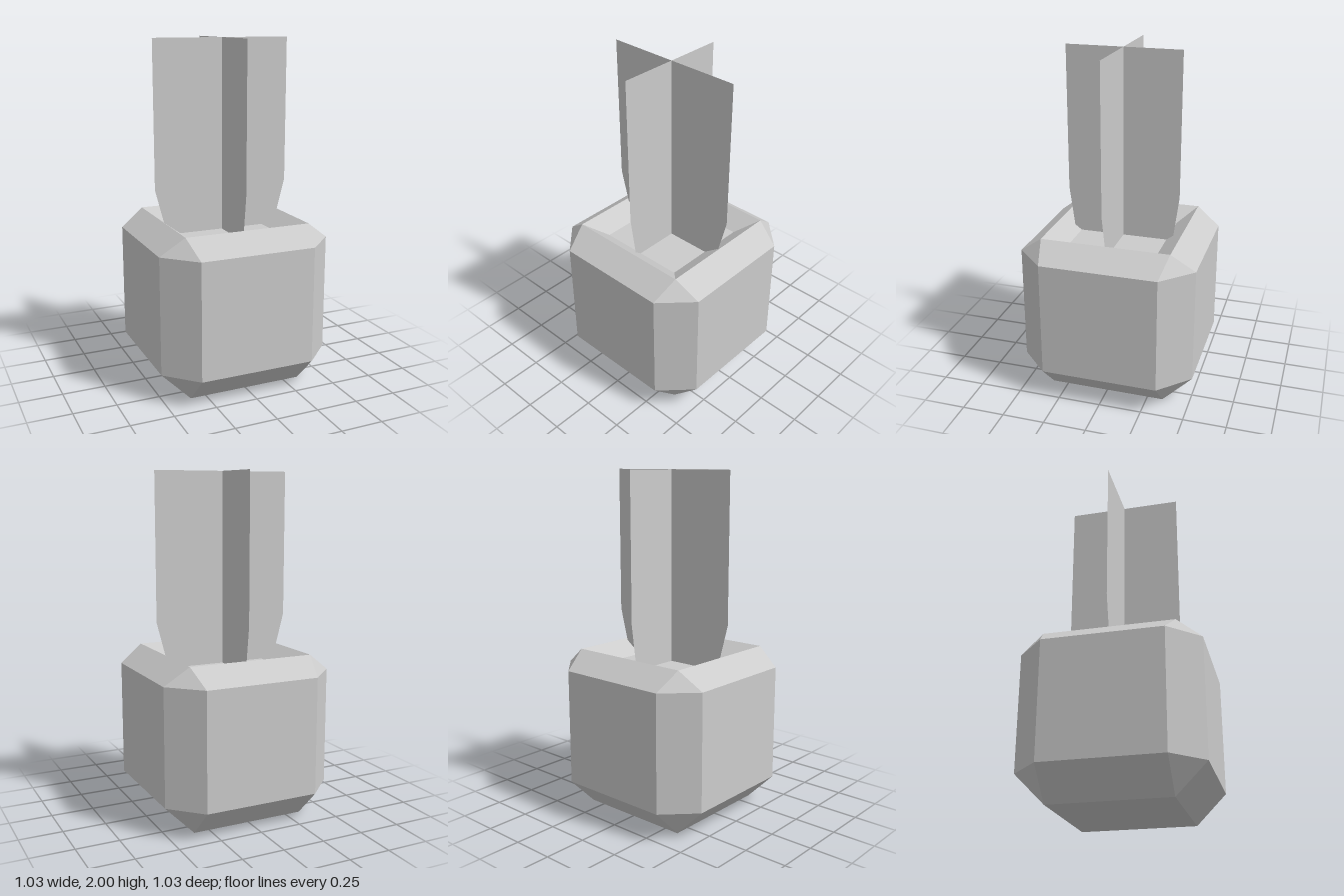
import * as THREE from 'three';

const material = new THREE.MeshStandardMaterial({ color: 0xcccccc, flatShading: true });
const leafMaterial = new THREE.MeshStandardMaterial({ color: 0xcccccc, flatShading: true, side: THREE.DoubleSide });

// Eight-point ring: a square of half-width a whose corners are cut at b (b = a keeps them sharp)
function ring([y, a, b]) {
  const points = [];
  let pair = [[a, b], [b, a]];
  for (let k = 0; k < 4; k++) {
    for (const [x, z] of pair) points.push(new THREE.Vector3(x, y, z));
    pair = pair.map(([x, z]) => [-z, x]);
  }
  return points;
}

// Skin a stack of rings, leaving out triangles that collapse to a line
function skin(sections) {
  const rings = sections.map(ring);
  const vertices = [];
  const addTriangle = (...t) => {
    if (new THREE.Triangle(...t).getArea() > 1e-6) t.forEach((p) => vertices.push(p));
  };
  for (let i = 0; i < rings.length - 1; i++) {
    const [lower, upper] = [rings[i], rings[i + 1]];
    for (let j = 0; j < 8; j++) {
      const n = (j + 1) % 8;
      addTriangle(lower[j], upper[j], lower[n]);
      addTriangle(lower[n], upper[j], upper[n]);
    }
  }
  const geometry = new THREE.BufferGeometry().setFromPoints(vertices);
  geometry.computeVertexNormals();
  return geometry;
}

// Flat upright blade, tapered towards its foot
function blade(name, halfWidth, halfFoot) {
  const shape = new THREE.Shape([
    [-halfFoot, 0.88], [halfFoot, 0.88], [halfWidth, 1.15],
    [halfWidth, 2], [-halfWidth, 2], [-halfWidth, 1.15],
  ].map(([x, y]) => new THREE.Vector2(x, y)));
  const mesh = new THREE.Mesh(new THREE.ShapeGeometry(shape), leafMaterial);
  mesh.name = name;
  return mesh;
}

export function createModel() {
  const model = new THREE.Group();
  model.name = 'pottedPlant';

  // Chamfered pot with a sloped rim and a shallow recessed floor
  const pot = new THREE.Mesh(skin([
    [0, 0, 0],
    [0, 0.342, 0.342],
    [0.175, 0.516, 0.342],
    [0.86, 0.516, 0.342],
    [0.963, 0.377, 0.377],
    [0.88, 0.265, 0.265],
    [0.88, 0, 0],
  ]), material);
  pot.name = 'pot';
  model.add(pot);

  // Two crossed foliage blades
  const wideBlade = blade('wideBlade', 0.416, 0.345);
  const narrowBlade = blade('narrowBlade', 0.338, 0.302);
  narrowBlade.rotation.y = Math.PI / 2;
  model.add(wideBlade, narrowBlade);

  return model;
}
